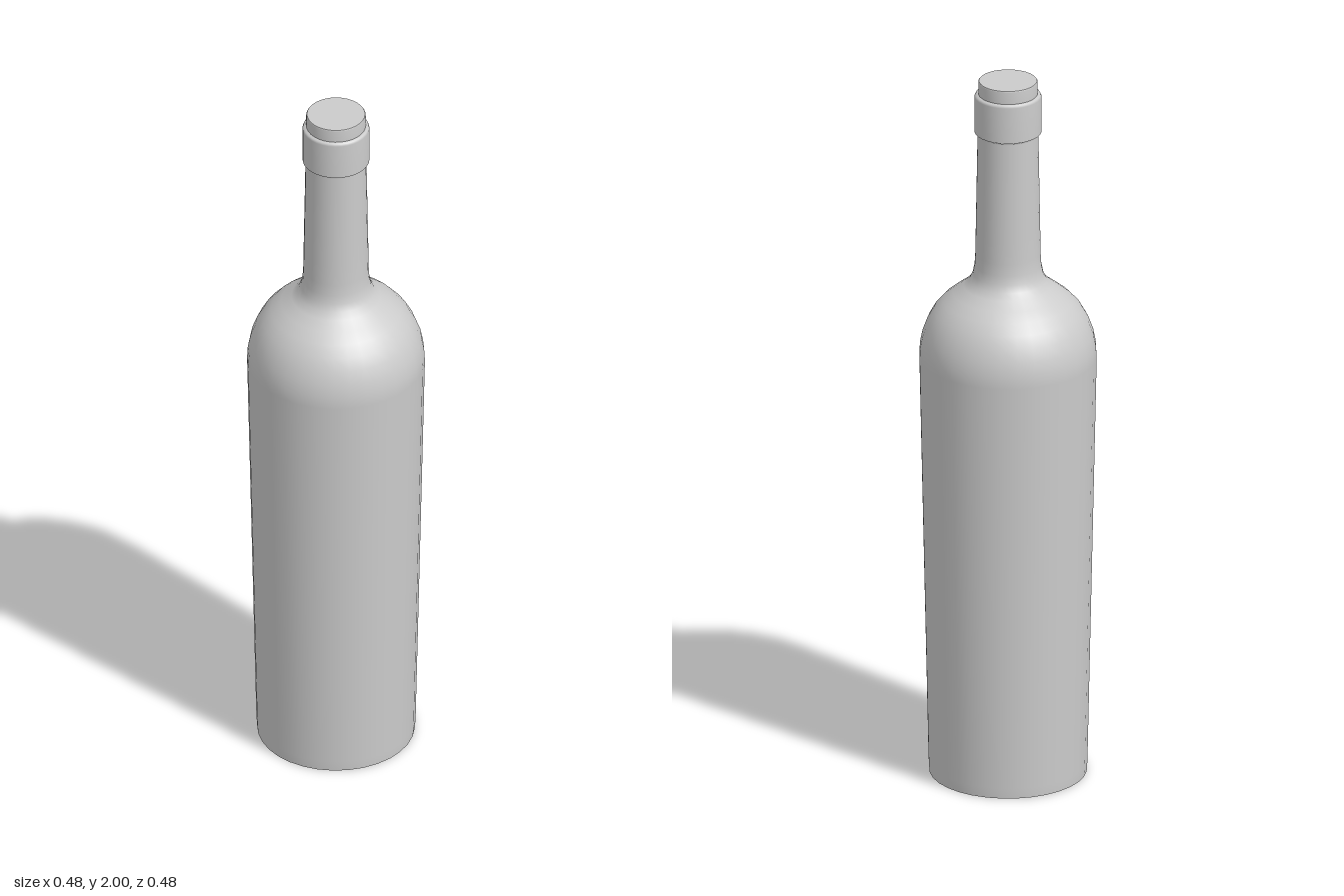
import * as THREE from 'three';

const SIDES = 32;

export function createModel() {
  const bottle = new THREE.Group();
  bottle.name = 'bottle';
  const material = new THREE.MeshStandardMaterial({ color: 0xcccccc });

  // Each section is turned from [radius, height] points; separate sections meet at sharp edges.
  const turn = (name, points) => {
    const profile = points.map(([r, y]) => new THREE.Vector2(r, y));
    const mesh = new THREE.Mesh(new THREE.LatheGeometry(profile, SIDES), material);
    mesh.name = name;
    bottle.add(mesh);
  };

  // Hollow dome under the base
  const punt = [];
  for (let i = 0; i <= 8; i++) {
    const a = (i / 8) * Math.PI / 2;
    punt.push([0.145 * Math.sin(a), 0.14 * Math.cos(a)]);
  }
  turn('punt', punt);

  // Flat standing ring
  turn('foot', [[0.145, 0], [0.212, 0]]);

  // Tapered body, round shoulder and neck
  turn('body', [
    [0.212, 0], [0.214, 0.03], [0.239, 1.2],
    [0.237, 1.235], [0.23, 1.27], [0.217, 1.305], [0.199, 1.337],
    [0.175, 1.364], [0.148, 1.386], [0.12, 1.407], [0.104, 1.423],
    [0.095, 1.443], [0.09, 1.467], [0.088, 1.5], [0.087, 1.56],
    [0.082, 1.845], [0.084, 1.85],
  ]);

  // Collar around the mouth
  turn('collarUnderside', [[0.082, 1.85], [0.09, 1.853]]);
  turn('collar', [[0.09, 1.853], [0.09, 1.955], [0.087, 1.961], [0.08, 1.963]]);

  // Stopper closing the mouth
  turn('stopper', [[0.08, 1.963], [0.08, 1.997], [0.078, 2]]);
  turn('stopperTop', [[0.078, 2], [0, 2]]);

  return bottle;
}
